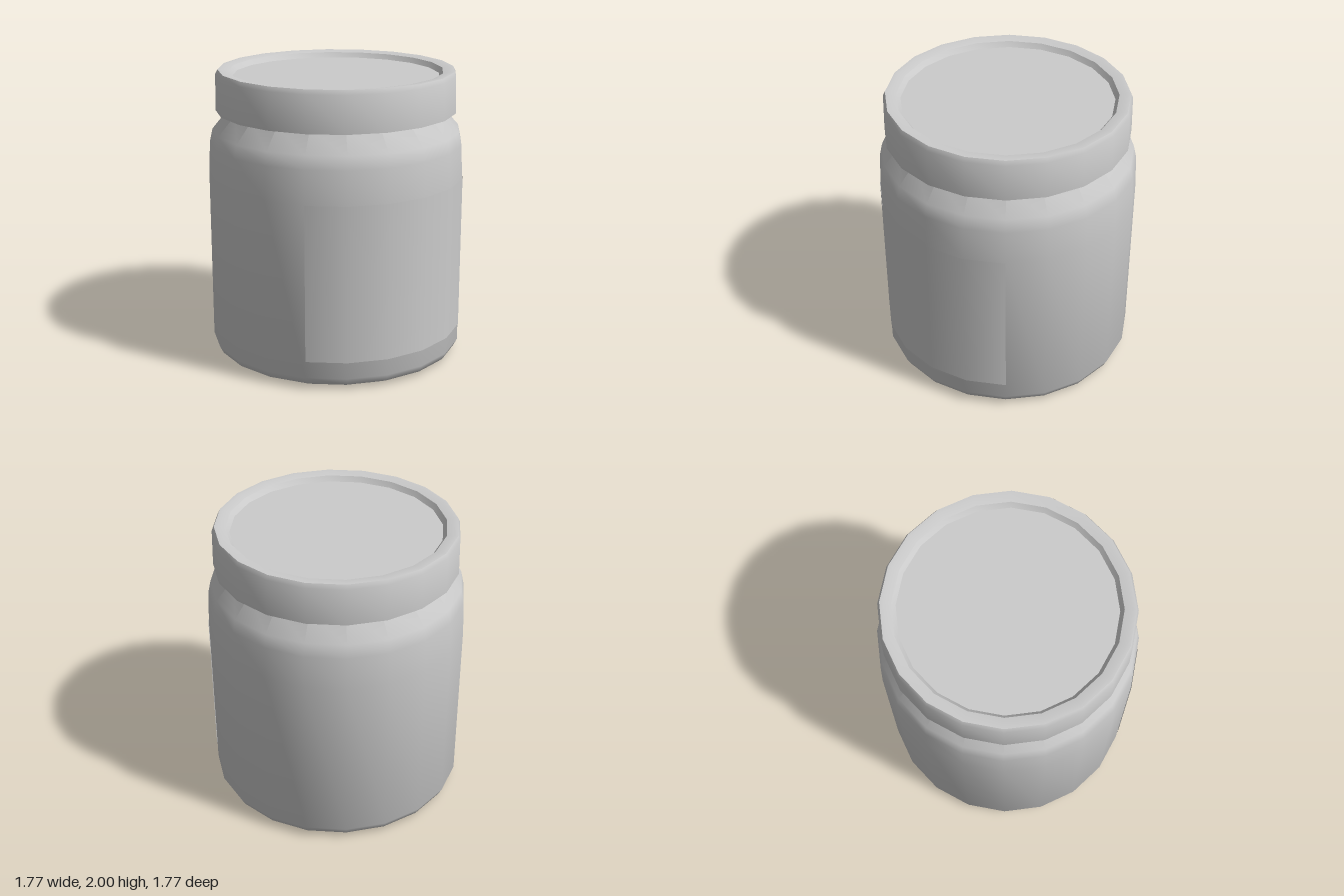
import * as THREE from 'three';
import { toCreasedNormals } from 'three/addons/utils/BufferGeometryUtils.js';

const SIDES = 20;
const STEP = (Math.PI * 2) / SIDES;

// Revolves a bottom-to-top profile, smooth around with sharp corners kept
function turned(name, profile, crease, material) {
  const points = profile.map(([r, y]) => new THREE.Vector2(r, y));
  const geometry = toCreasedNormals(new THREE.LatheGeometry(points, SIDES), crease);
  const mesh = new THREE.Mesh(geometry, material);
  mesh.name = name;
  return mesh;
}

export function createModel() {
  const group = new THREE.Group();
  group.name = 'jar';
  const grey = new THREE.MeshStandardMaterial({ color: 0xcccccc });
  const thin = new THREE.MeshStandardMaterial({ color: 0xcccccc, side: THREE.DoubleSide });

  // Jar body: rounded foot, straight wall, sloping shoulder, neck inside the lid
  group.add(turned('body', [
    [0, 0], [0.79, 0], [0.86, 0.035], [0.885, 0.085], [0.885, 1.27],
    [0.875, 1.5], [0.855, 1.59], [0.73, 1.73], [0.73, 1.8],
  ], 0.75, grey));

  // Screw lid: flat underside, slightly tapered skirt, raised rim, sunken top
  group.add(turned('lid', [
    [0.72, 1.72], [0.83, 1.72], [0.825, 1.97], [0.81, 2], [0.785, 2],
    [0.735, 1.99], [0.71, 1.955], [0, 1.955],
  ], 0.6, grey));

  // Label wrapped on the +x side, lined up with the facets of the body
  const label = new THREE.Mesh(
    new THREE.CylinderGeometry(0.889, 0.889, 1.07, 6, 1, true, 2 * STEP, 6 * STEP),
    thin,
  );
  label.name = 'label';
  label.position.y = 0.735;
  group.add(label);

  return group;
}
